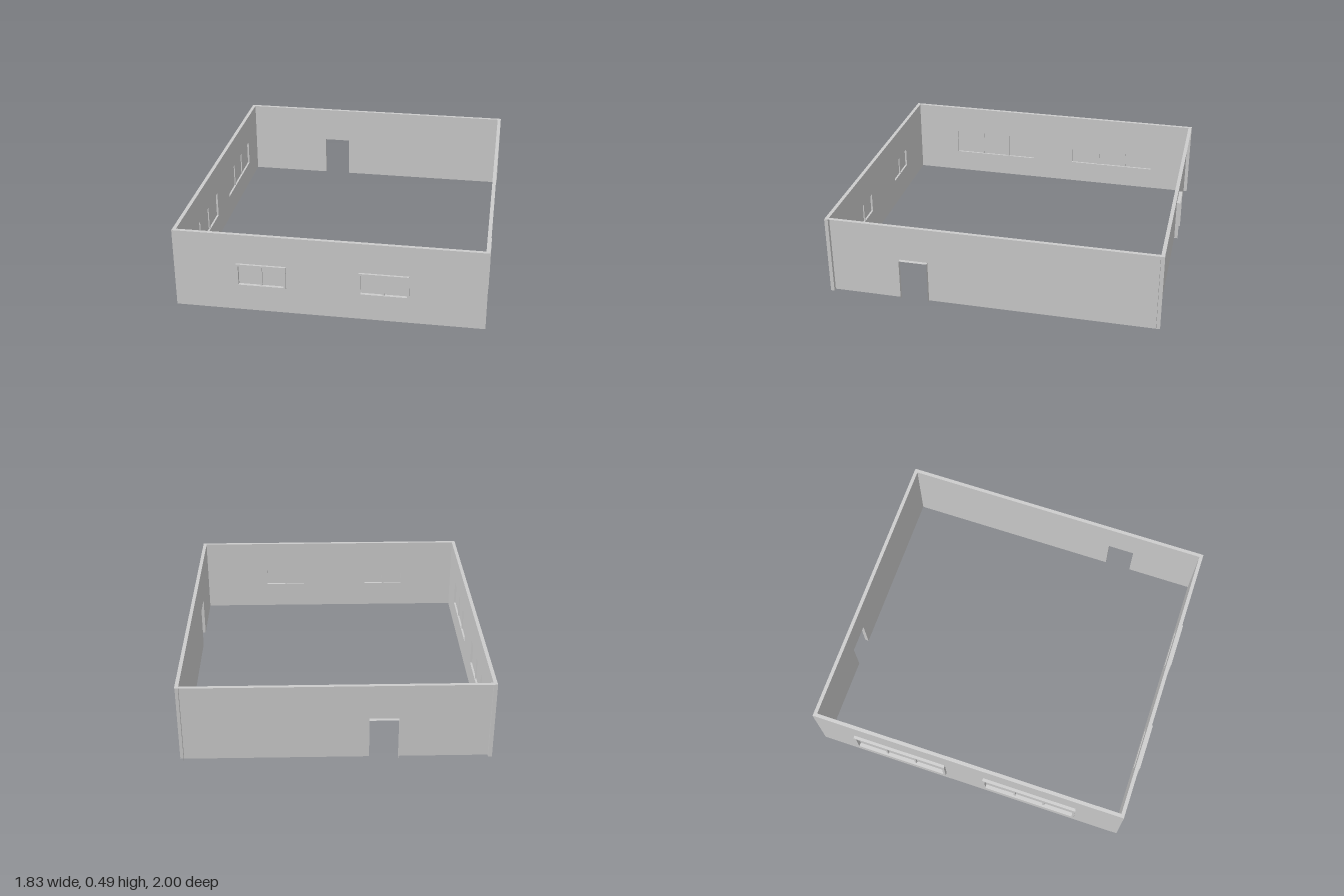
import * as THREE from 'three';

const H = 0.49, T = 0.022;
const mat = new THREE.MeshStandardMaterial({ color: 0xcccccc, side: THREE.DoubleSide });

function add(parent, name, geometry, x = 0, y = 0, z = 0) {
  const mesh = new THREE.Mesh(geometry, mat);
  mesh.name = name;
  mesh.position.set(x, y, z);
  parent.add(mesh);
  return mesh;
}

function rect(Type, x0, x1, y0, y1) {
  const p = new Type();
  p.moveTo(x0, y0);
  p.lineTo(x1, y0);
  p.lineTo(x1, y1);
  p.lineTo(x0, y1);
  p.closePath();
  return p;
}

const extrude = (shape, depth) => new THREE.ExtrudeGeometry(shape, { depth, bevelEnabled: false });

// Solid wall facing local +z, with framed windows
function windowWall(name, x0, x1, outer, windows, { y0, y1, border, panes, proud }) {
  const wall = new THREE.Group();
  wall.name = name;
  const shape = rect(THREE.Shape, x0, x1, 0, H);
  for (const [a, b] of windows) {
    const l = a + border, r = b - border, bottom = y0 + border, top = y1 - border;
    shape.holes.push(rect(THREE.Path, l, r, bottom, top));

    const frame = rect(THREE.Shape, a, b, y0, y1);
    frame.holes.push(rect(THREE.Path, l, r, bottom, top));
    add(wall, 'windowFrame', extrude(frame, proud), 0, 0, outer);

    const midY = (bottom + top) / 2;
    add(wall, 'windowPane', new THREE.BoxGeometry(r - l, top - bottom, 0.004), (l + r) / 2, midY, outer - 0.008);
    for (let i = 1; i < panes; i++) {
      const x = l + (r - l) * i / panes;
      add(wall, 'mullion', new THREE.BoxGeometry(0.012, top - bottom, T), x, midY, outer - T / 2 + 0.005);
    }
  }
  add(wall, 'wallPanel', extrude(shape, T), 0, 0, outer - T);
  return wall;
}

// Thin inner panel facing local +z, with a top ledge and door lining reaching outward
function doorWall(name, x0, x1, outer, d0, d1, doorTop) {
  const wall = new THREE.Group();
  wall.name = name;
  const shape = new THREE.Shape();
  [[x0, 0], [d0, 0], [d0, doorTop], [d1, doorTop], [d1, 0], [x1, 0], [x1, H], [x0, H]]
    .forEach(([x, y], i) => (i ? shape.lineTo(x, y) : shape.moveTo(x, y)));
  add(wall, 'wallPanel', new THREE.ShapeGeometry(shape), 0, 0, outer - T);

  const z = outer - T / 2;
  const ledge = add(wall, 'topLedge', new THREE.PlaneGeometry(x1 - x0, T), (x0 + x1) / 2, H, z);
  ledge.rotation.x = -Math.PI / 2;
  const lintel = add(wall, 'doorLintel', new THREE.PlaneGeometry(d1 - d0, T), (d0 + d1) / 2, doorTop, z);
  lintel.rotation.x = Math.PI / 2;
  for (const x of [d0, d1]) {
    const jamb = add(wall, 'doorJamb', new THREE.PlaneGeometry(T, doorTop), x, doorTop / 2, z);
    jamb.rotation.y = x === d0 ? Math.PI / 2 : -Math.PI / 2;
  }
  return wall;
}

export function createModel() {
  const model = new THREE.Group();
  model.name = 'roomWalls';

  // Front: two double windows
  const front = windowWall('frontWall', -0.895, 0.913, 0.987, [[-0.525, -0.235], [0.185, 0.475]],
    { y0: 0.16, y1: 0.305, border: 0.012, panes: 2, proud: 0.013 });

  // Long-window side, turned to face -x
  const side = windowWall('longWindowWall', -1, 0.965, 0.895, [[-0.75, -0.15], [0.1, 0.7]],
    { y0: 0.13, y1: 0.32, border: 0.015, panes: 3, proud: 0.018 });
  side.rotation.y = -Math.PI / 2;

  // Door walls, turned to face +x and -z
  const doorSide = doorWall('sideDoorWall', -0.987, 1, 0.913, -0.545, -0.375, 0.26);
  doorSide.rotation.y = Math.PI / 2;
  const back = doorWall('backDoorWall', -0.913, 0.895, 1, 0.18, 0.35, 0.26);
  back.rotation.y = Math.PI;

  model.add(front, side, doorSide, back);
  return model;
}
